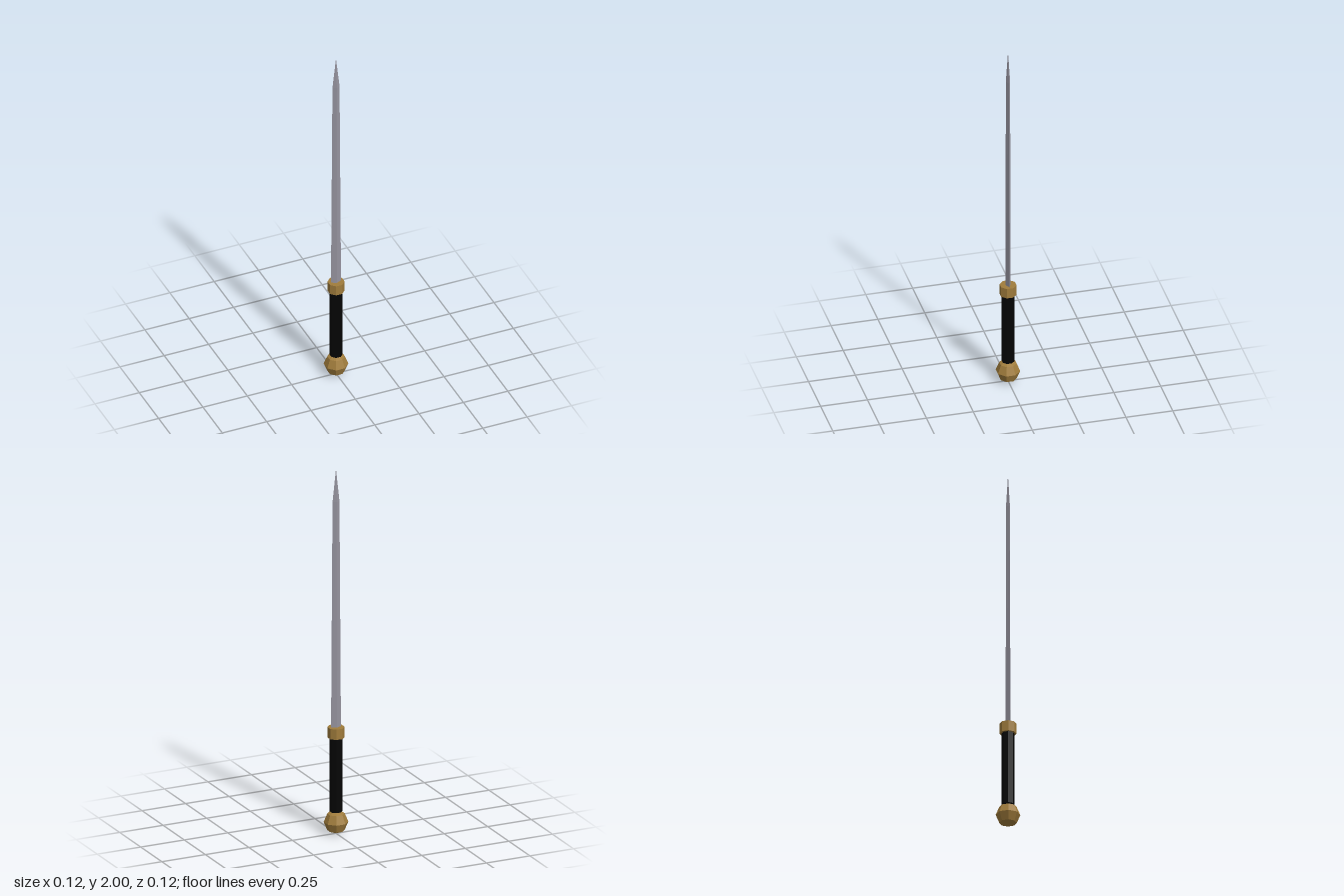
import * as THREE from 'three';

export function createModel() {
  const mat = (name, color) => {
    const m = new THREE.MeshStandardMaterial({ color, flatShading: true });
    m.name = name;
    return m;
  };
  const steel = mat('steel', 0x96949f);
  const brass = mat('brass', 0xa07c3c);
  const leather = mat('black leather', 0x040404);

  const group = new THREE.Group();
  group.name = 'sword';
  const add = (name, geometry, material, y) => {
    const mesh = new THREE.Mesh(geometry, material);
    mesh.name = name;
    mesh.position.y = y;
    group.add(mesh);
  };

  // Octagonal parts are turned so that a flat side faces the front
  const turn = Math.PI / 8;
  const prism = (radius, height) => new THREE.CylinderGeometry(radius, radius, height, 8).rotateY(turn);

  add('pommel', new THREE.SphereGeometry(0.064, 8, 4).rotateY(turn), brass, 0.064);
  add('grip', prism(0.034, 0.415), leather, 0.3295);
  add('guard', prism(0.0445, 0.057), brass, 0.5555);

  // Diamond-section blade: [height, half width, half thickness], tapering to a point
  const sections = [[0.57, 0.0285, 0.0135], [1.82, 0.02, 0.0115], [2, 0, 0]];
  const ring = ([y, w, d]) => [[w, y, 0], [0, y, d], [-w, y, 0], [0, y, -d]];
  const positions = [];
  for (let s = 0; s < sections.length - 1; s++) {
    const low = ring(sections[s]);
    const high = ring(sections[s + 1]);
    for (let i = 0; i < 4; i++) {
      const j = (i + 1) % 4;
      positions.push(...low[i], ...high[i], ...low[j]);
      // The last band ends in the tip, so it needs only one triangle per side
      if (s < sections.length - 2) positions.push(...low[j], ...high[i], ...high[j]);
    }
  }
  const blade = new THREE.BufferGeometry();
  blade.setAttribute('position', new THREE.Float32BufferAttribute(positions, 3));
  blade.computeVertexNormals();
  add('blade', blade, steel, 0);

  return group;
}
